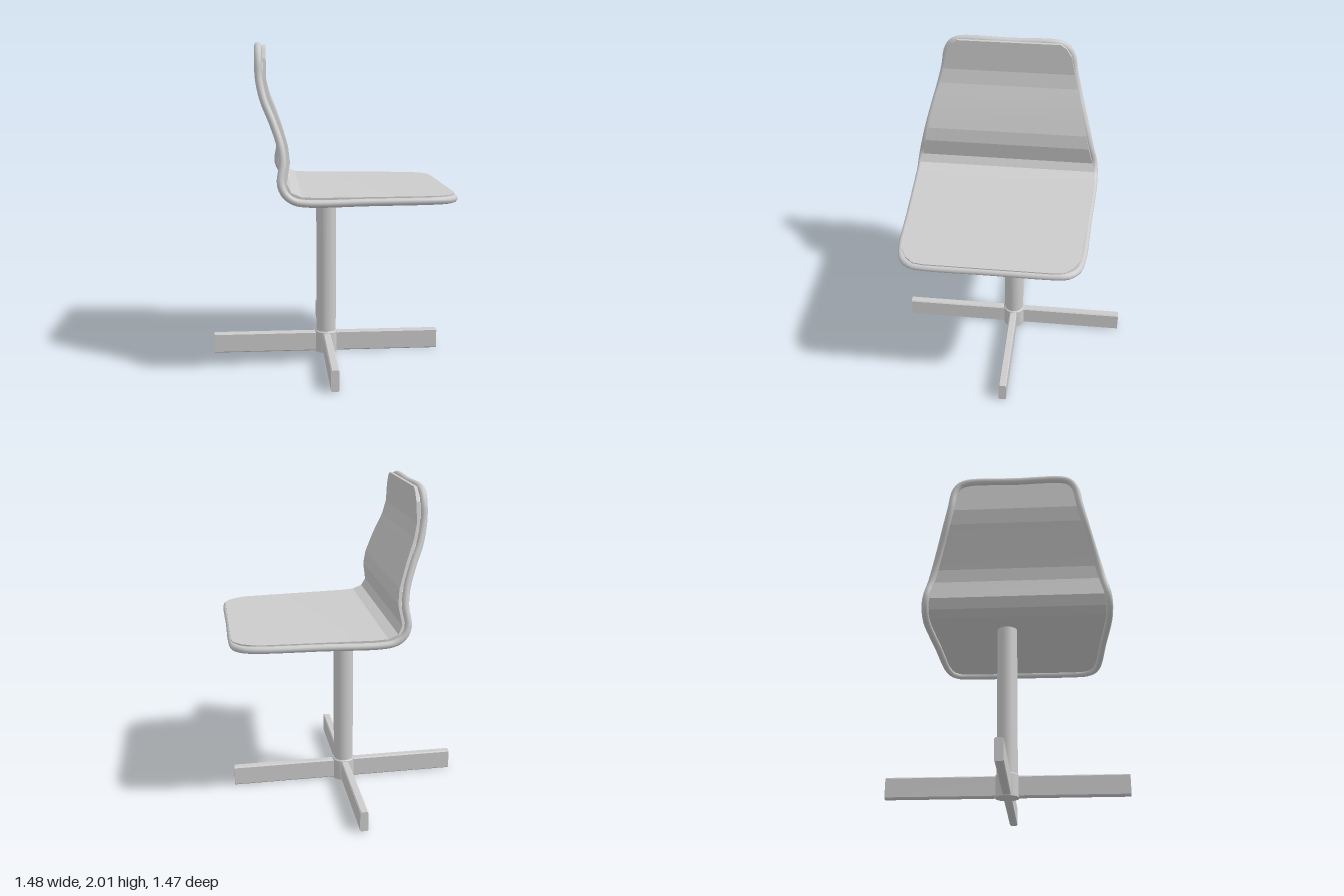
import * as THREE from 'three';
import { toCreasedNormals } from 'three/addons/utils/BufferGeometryUtils.js';

const material = new THREE.MeshStandardMaterial({ color: 0xcccccc });
const SEAT_Z = 0.075; // the seat sits slightly off the post
const POST_X = -0.006;

function addMesh(parent, name, geometry) {
  const mesh = new THREE.Mesh(geometry, material);
  mesh.name = name;
  parent.add(mesh);
  return mesh;
}

// Bent sheet: stations of [x, y, half width], thickened behind the surface
function sheetGeometry(stations, thickness) {
  const n = stations.length;
  const positions = [];
  const index = [];
  stations.forEach(([x, y, w], i) => {
    const a = stations[Math.max(i - 1, 0)];
    const b = stations[Math.min(i + 1, n - 1)];
    const dx = b[0] - a[0], dy = b[1] - a[1];
    const len = Math.hypot(dx, dy);
    const bx = x + (dy / len) * thickness;
    const by = y - (dx / len) * thickness;
    positions.push(x, y, w, x, y, -w, bx, by, -w, bx, by, w);
  });
  for (let i = 0; i < n - 1; i++) {
    for (let k = 0; k < 4; k++) {
      const a = i * 4 + k, b = i * 4 + ((k + 1) % 4);
      index.push(a, a + 4, b, b, a + 4, b + 4);
    }
  }
  const e = (n - 1) * 4;
  index.push(0, 1, 2, 0, 2, 3, e, e + 2, e + 1, e, e + 3, e + 2);
  const geometry = new THREE.BufferGeometry();
  geometry.setAttribute('position', new THREE.Float32BufferAttribute(positions, 3));
  geometry.setIndex(index);
  return toCreasedNormals(geometry, 0.1);
}

export function createModel() {
  const group = new THREE.Group();

  // Seat and backrest in one bent sheet, from the top edge to the front edge
  const seat = new THREE.Group();
  seat.name = 'seat';
  seat.position.z = SEAT_Z;
  group.add(seat);
  addMesh(seat, 'seatPanel', sheetGeometry([
    [-0.385, 1.99, 0.32], [-0.385, 1.965, 0.355], [-0.385, 1.91, 0.39],
    [-0.385, 1.79, 0.415], [-0.365, 1.7, 0.435], [-0.31, 1.56, 0.475],
    [-0.265, 1.42, 0.51], [-0.255, 1.33, 0.53], [-0.275, 1.21, 0.56],
    [-0.25, 1.16, 0.575], [-0.19, 1.135, 0.575], [-0.1, 1.13, 0.572],
    [0.59, 1.126, 0.53], [0.67, 1.126, 0.49], [0.715, 1.126, 0.44], [0.725, 1.126, 0.38],
  ], 0.02));

  // Tube frame: one side, mirrored into a closed loop
  const side = [
    [-0.43, 1.978, 0.0], [-0.43, 1.978, 0.31], [-0.43, 1.955, 0.36], [-0.43, 1.9, 0.392],
    [-0.427, 1.8, 0.41], [-0.402, 1.68, 0.44], [-0.35, 1.55, 0.478],
    [-0.308, 1.42, 0.515], [-0.297, 1.32, 0.54], [-0.31, 1.21, 0.567],
    [-0.285, 1.15, 0.576], [-0.235, 1.112, 0.577], [-0.16, 1.098, 0.576],
    [0.2, 1.098, 0.555], [0.58, 1.098, 0.532], [0.665, 1.098, 0.505],
    [0.708, 1.098, 0.455], [0.718, 1.098, 0.39], [0.718, 1.098, 0.0],
  ];
  const mirrored = side.slice(1, -1).reverse().map(([x, y, z]) => [x, y, -z]);
  const path = new THREE.CatmullRomCurve3(
    [...side, ...mirrored].map((p) => new THREE.Vector3(...p)), true, 'centripetal');
  addMesh(seat, 'tubeFrame', new THREE.TubeGeometry(path, 200, 0.022, 12, true));

  // Post and hub
  const base = new THREE.Group();
  base.name = 'base';
  base.position.x = POST_X;
  group.add(base);
  addMesh(base, 'post', new THREE.CylinderGeometry(0.064, 0.064, 1.01, 24)).position.y = 0.605;
  const hubProfile = [[0, 0], [0.073, 0], [0.073, 0.135], [0.066, 0.143], [0, 0.143]];
  addMesh(base, 'hub', toCreasedNormals(new THREE.LatheGeometry(
    hubProfile.map(([r, y]) => new THREE.Vector2(r, y)), 24), 0.5));

  // Four bars with slightly chamfered edges
  const w = 0.025, h = 0.132, b = 0.007, y0 = 0.003;
  const section = new THREE.Shape([
    [-w + b, y0], [w - b, y0], [w, y0 + b], [w, h - b],
    [w - b, h], [-w + b, h], [-w, h - b], [-w, y0 + b],
  ].map(([x, y]) => new THREE.Vector2(x, y)));
  const legGeometry = new THREE.ExtrudeGeometry(section, { depth: 0.735, bevelEnabled: false });
  for (let i = 0; i < 4; i++) {
    addMesh(base, 'footBar', legGeometry).rotation.y = (i * Math.PI) / 2;
  }
  return group;
}
